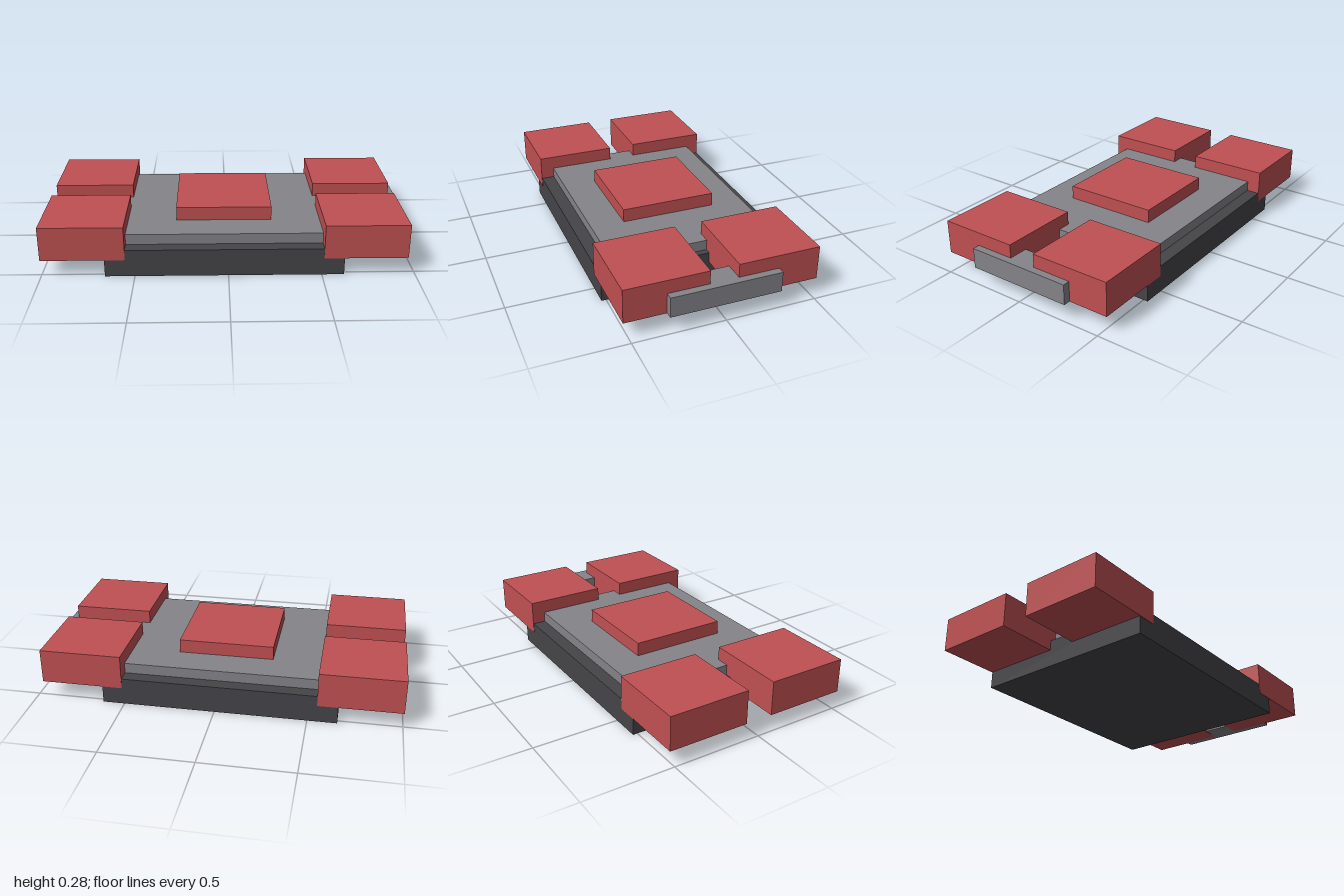
import * as THREE from 'three';

export function createModel() {
  const model = new THREE.Group();
  const material = (name, color) => {
    const m = new THREE.MeshStandardMaterial({ color });
    m.name = name;
    return m;
  };
  const red = material('red', 0xc05052);
  const grey = material('grey', 0x848489);
  const dark = material('darkGrey', 0x454549);

  // Box given by its limits on each axis
  const box = (name, mat, [x0, x1], [y0, y1], [z0, z1]) => {
    const mesh = new THREE.Mesh(new THREE.BoxGeometry(x1 - x0, y1 - y0, z1 - z0), mat);
    mesh.position.set((x0 + x1) / 2, (y0 + y1) / 2, (z0 + z1) / 2);
    mesh.name = name;
    model.add(mesh);
  };

  // Stacked body
  box('base', dark, [-0.66, 0.62], [0, 0.152], [-0.525, 0.525]);
  box('deck', grey, [-0.625, 0.585], [0.152, 0.21], [-0.452, 0.452]);
  box('topBlock', red, [-0.283, 0.242], [0.21, 0.285], [-0.266, 0.266]);

  // Four corner pods, a hair proud of the base sides
  for (const [end, xs] of [['right', [-1, -0.55]], ['left', [0.51, 0.96]]]) {
    box(end + 'FrontPod', red, xs, [0.096, 0.285], [0.077, 0.527]);
    box(end + 'BackPod', red, xs, [0.096, 0.285], [-0.527, -0.077]);
  }

  // Bar joining the two pods at the +x end
  box('endBar', grey, [0.85, 1], [0.097, 0.21], [-0.302, 0.302]);

  return model;
}
